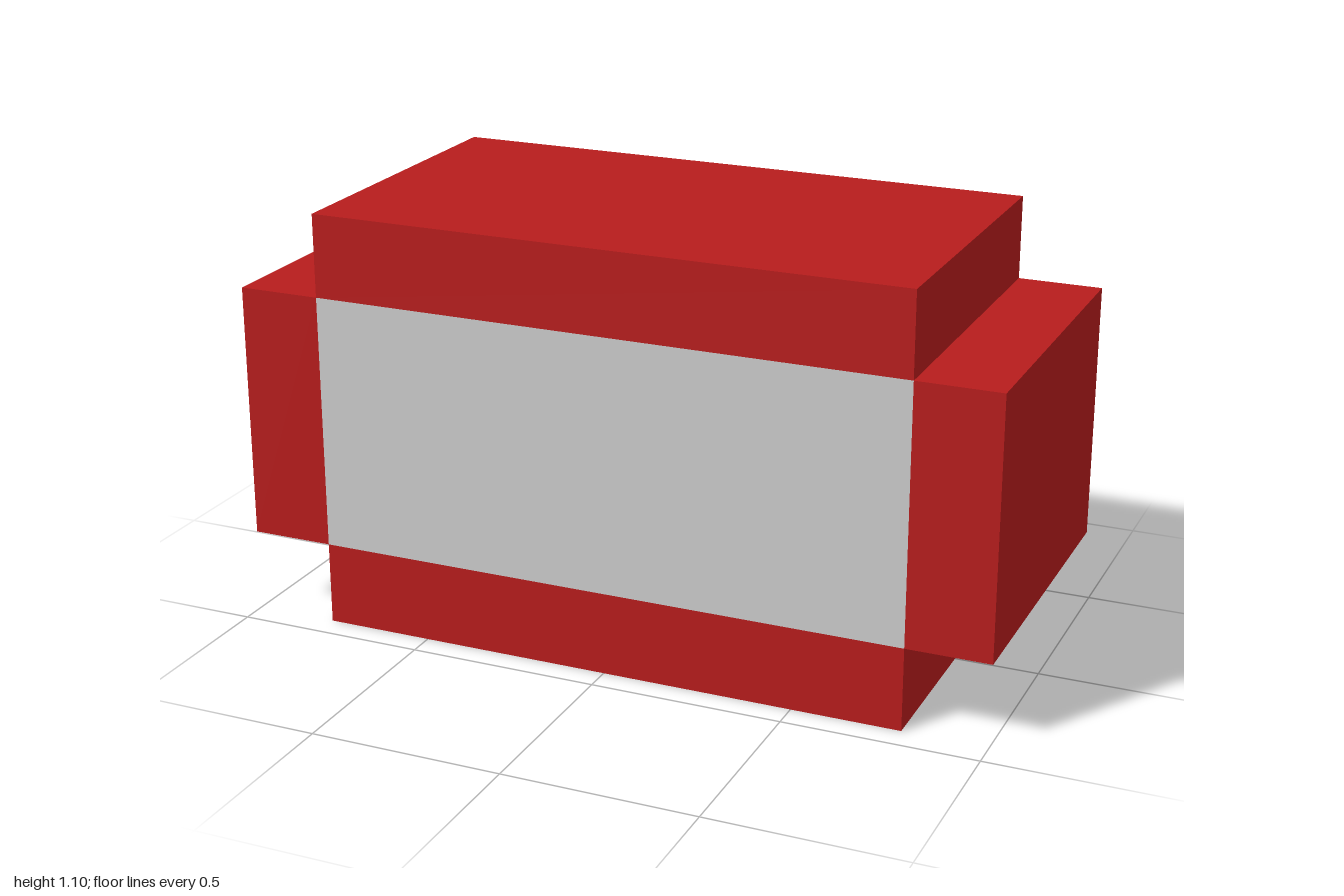
import * as THREE from 'three';

const DEPTH = 0.86;
const CORE_W = 1.566, CORE_H = 0.67; // grey block
const SLAB = 0.217; // thickness of the surrounding slabs
const MID_Y = SLAB + CORE_H / 2;

export function createModel() {
  const group = new THREE.Group();
  const grey = new THREE.MeshStandardMaterial({ color: 0xcccccc });
  const red = new THREE.MeshStandardMaterial({ color: 0xb71c1c });

  const addBox = (name, w, h, x, y, material) => {
    const mesh = new THREE.Mesh(new THREE.BoxGeometry(w, h, DEPTH), material);
    mesh.name = name;
    mesh.position.set(x, y, 0);
    group.add(mesh);
  };

  // central block, flush with the slabs at front and back
  addBox('core', CORE_W, CORE_H, 0, MID_Y, grey);

  // one slab on each of the four sides, leaving the corners open
  for (const s of [-1, 1]) {
    addBox(s > 0 ? 'leftSlab' : 'rightSlab', SLAB, CORE_H, s * (CORE_W + SLAB) / 2, MID_Y, red);
    addBox(s > 0 ? 'topSlab' : 'bottomSlab', CORE_W, SLAB, 0, MID_Y + s * (CORE_H + SLAB) / 2, red);
  }
  return group;
}
